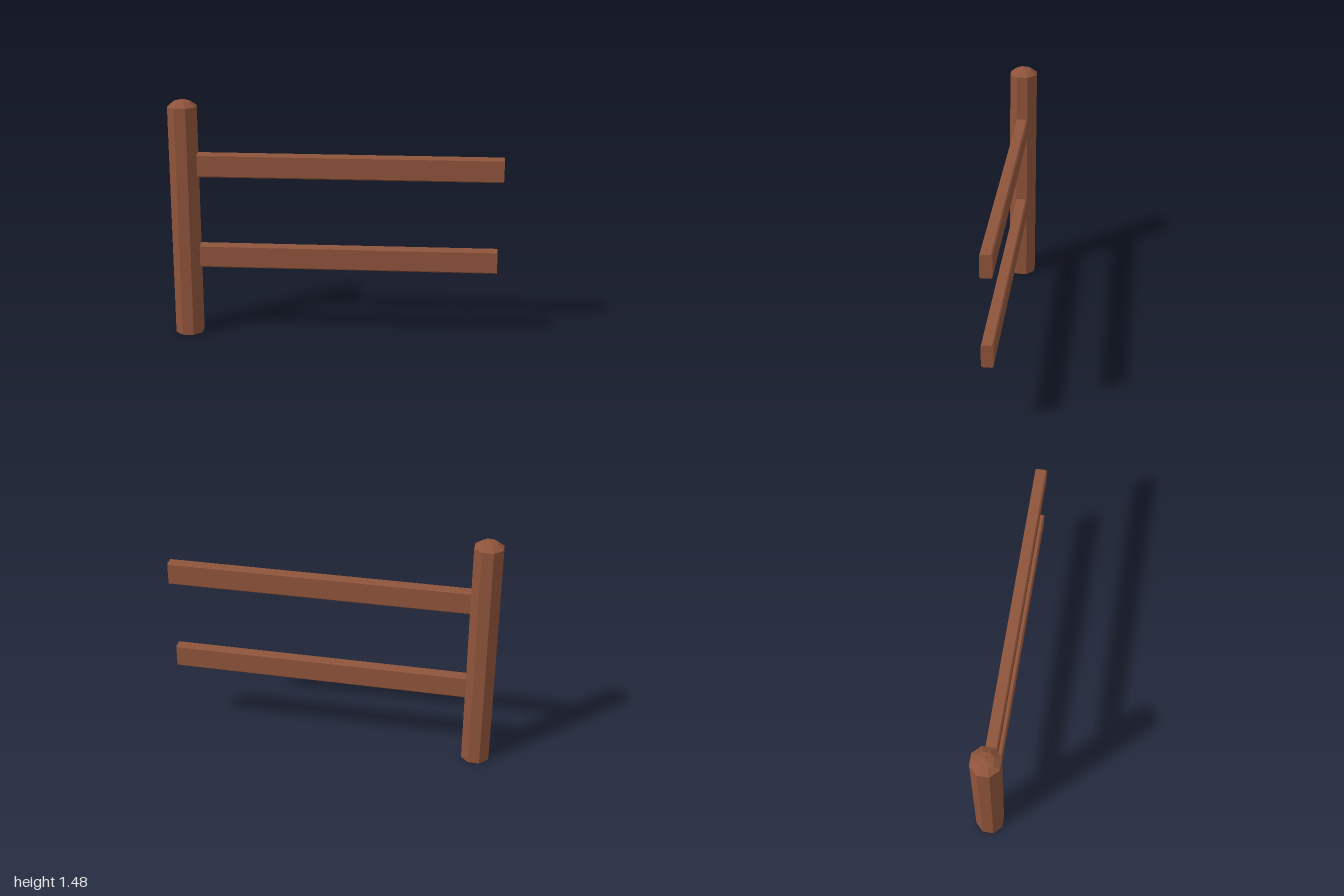
import * as THREE from 'three';

const wood = new THREE.MeshStandardMaterial({ color: 0x8f543b, flatShading: true });
wood.name = 'brown wood';

const POST_X = -0.917;

// Octagonal post with a low faceted dome; flats face the axes
function makePost() {
  const r = 0.083 / Math.cos(Math.PI / 8);
  const profile = [[0, 0], [r, 0], [r, 1.44], [r * 0.55, 1.47], [0, 1.482]]
    .map(([x, y]) => new THREE.Vector2(x, y));
  const post = new THREE.Mesh(new THREE.LatheGeometry(profile, 8, Math.PI / 8), wood);
  post.name = 'post';
  post.position.x = POST_X;
  return post;
}

// Horizontal rail with small chamfers on its long edges
function makeRail(name, yMid, endX) {
  const w = 0.035, h = 0.071, c = 0.008;
  const section = new THREE.Shape([
    [-w + c, -h], [w - c, -h], [w, -h + c], [w, h - c],
    [w - c, h], [-w + c, h], [-w, h - c], [-w, -h + c],
  ].map(([x, y]) => new THREE.Vector2(x, y)));
  const geometry = new THREE.ExtrudeGeometry(section, { depth: endX - POST_X, bevelEnabled: false });
  geometry.rotateY(Math.PI / 2);
  const rail = new THREE.Mesh(geometry, wood);
  rail.name = name;
  rail.position.set(POST_X, yMid, 0);
  return rail;
}

export function createModel() {
  const fence = new THREE.Group();
  fence.name = 'fence';
  fence.add(
    makePost(),
    makeRail('upperRail', 1.08, 1.0),
    makeRail('lowerRail', 0.505, 0.98),
  );
  return fence;
}
